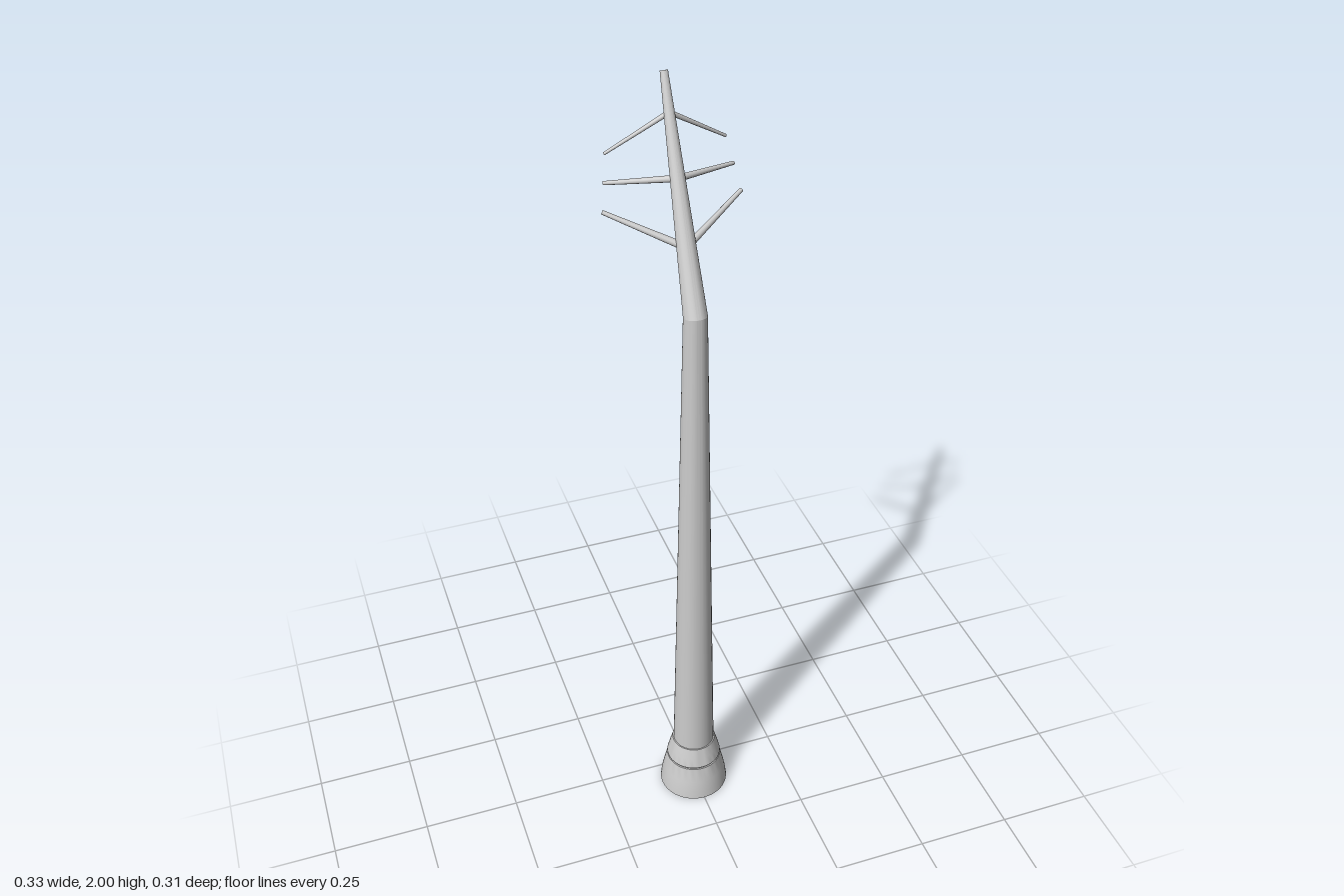
import * as THREE from 'three';
import { toCreasedNormals } from 'three/addons/utils/BufferGeometryUtils.js';

const Z = 0.061; // the pole stands forward of the centre so the bent arm balances it
const SIDES = 32;

// Capped tapered tube through tilted rings: { y, z, r, tilt }
function ringTube(rings) {
  const pos = [], index = [];
  for (const { y, z, r, tilt } of rings) {
    for (let i = 0; i < SIDES; i++) {
      const a = (i / SIDES) * Math.PI * 2;
      const d = Math.cos(a) * r;
      pos.push(Math.sin(a) * r, y + d * Math.sin(tilt), z + d * Math.cos(tilt));
    }
  }
  for (let k = 0; k < rings.length - 1; k++) {
    for (let i = 0; i < SIDES; i++) {
      const j = (i + 1) % SIDES;
      const a = k * SIDES + i, b = k * SIDES + j;
      index.push(a, b, b + SIDES, a, b + SIDES, a + SIDES);
    }
  }
  // top cap
  const last = rings[rings.length - 1], c = pos.length / 3;
  pos.push(0, last.y, last.z);
  for (let i = 0; i < SIDES; i++) {
    index.push(c, c - SIDES + i, c - SIDES + ((i + 1) % SIDES));
  }
  const geo = new THREE.BufferGeometry();
  geo.setAttribute('position', new THREE.Float32BufferAttribute(pos, 3));
  geo.setIndex(index);
  return toCreasedNormals(geo, 0.35);
}

// Tapered rod between two points
function rod(from, to, r0, r1, material) {
  const a = new THREE.Vector3(...from), b = new THREE.Vector3(...to);
  const dir = b.clone().sub(a);
  const mesh = new THREE.Mesh(new THREE.CylinderGeometry(r1, r0, dir.length(), 12), material);
  mesh.position.copy(a).add(b).multiplyScalar(0.5);
  mesh.quaternion.setFromUnitVectors(new THREE.Vector3(0, 1, 0), dir.normalize());
  return mesh;
}

export function createModel() {
  const model = new THREE.Group();
  const material = new THREE.MeshStandardMaterial({ color: 0xcccccc });

  // Flared foot with a narrow groove and a sloping collar
  const profile = [
    [0, 0], [0.092, 0], [0.089, 0.025], [0.083, 0.055], [0.073, 0.098],
    [0.069, 0.098], [0.069, 0.104], [0.073, 0.104],
    [0.066, 0.132], [0.058, 0.16], [0.05, 0.16],
  ].map(([x, y]) => new THREE.Vector2(x, y));
  const foot = new THREE.Mesh(toCreasedNormals(new THREE.LatheGeometry(profile, 48), 0.5), material);
  foot.name = 'foot';
  foot.position.z = Z;
  model.add(foot);

  // Straight tapered pole
  const bend = { y: 1.505, z: Z, r: 0.028, tilt: 0.2 };
  const pole = new THREE.Mesh(ringTube([{ y: 0.155, z: Z, r: 0.055, tilt: 0 }, bend]), material);
  pole.name = 'pole';
  model.add(pole);

  // Bent upper arm leaning to the back
  const arm = new THREE.Mesh(ringTube([bend, { y: 1.997, z: -0.145, r: 0.009, tilt: 0.4 }]), material);
  arm.name = 'upperArm';
  model.add(arm);

  // Three mirrored pairs of prongs sweeping outward and back
  const prongs = [
    { name: 'lowerProng', root: [1.647, 0.001], tip: [0.163, 1.715, -0.093], r: [0.009, 0.005] },
    { name: 'middleProng', root: [1.786, -0.057], tip: [0.152, 1.772, -0.116], r: [0.008, 0.0045] },
    { name: 'upperProng', root: [1.916, -0.111], tip: [0.141, 1.829, -0.139], r: [0.006, 0.0035] },
  ];
  for (const { name, root, tip, r } of prongs) {
    for (const side of [1, -1]) {
      const prong = rod([0, ...root], [side * tip[0], tip[1], tip[2]], r[0], r[1], material);
      prong.name = name + (side > 0 ? 'Left' : 'Right');
      model.add(prong);
    }
  }
  return model;
}
